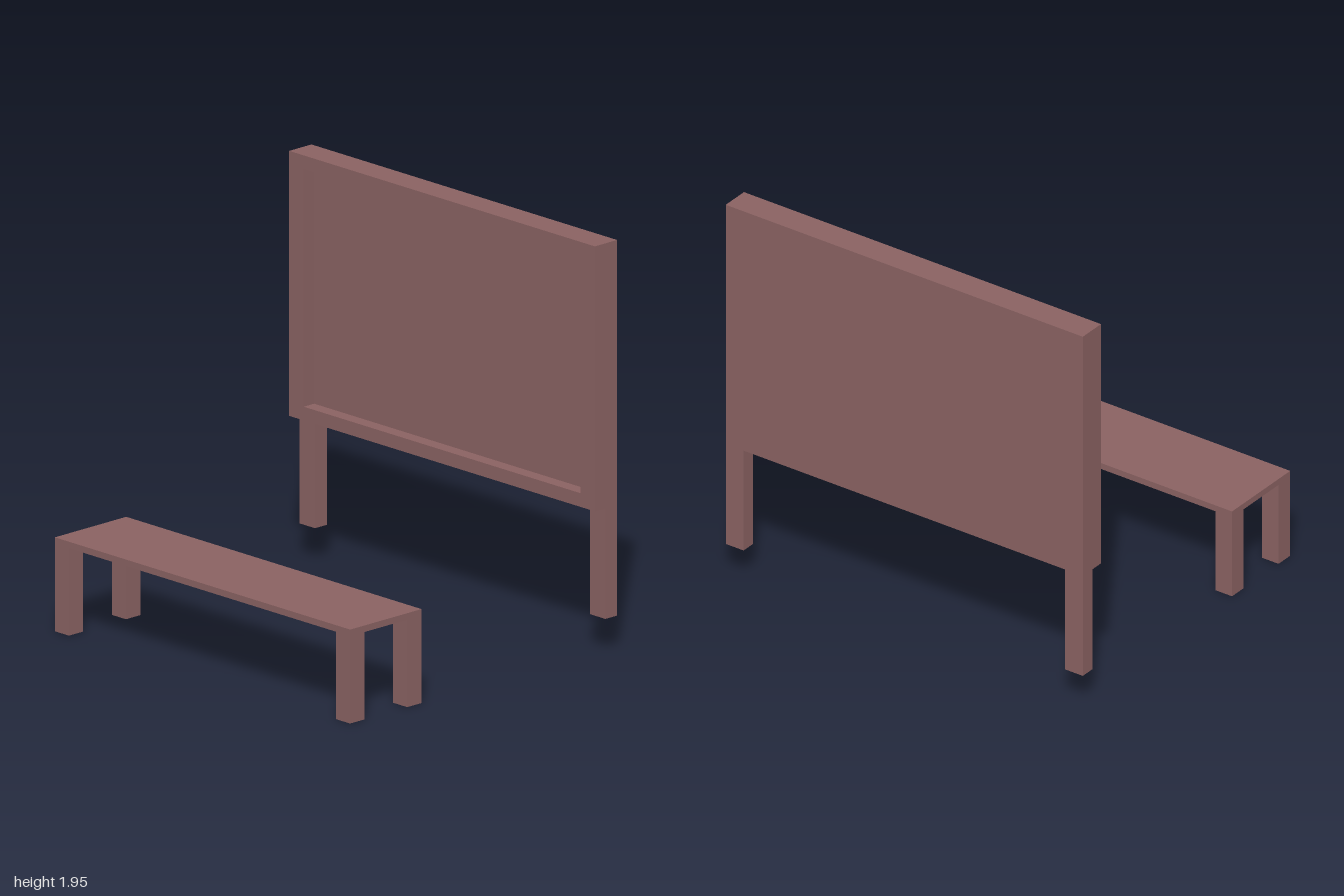
import * as THREE from 'three';

export function createModel() {
  const model = new THREE.Group();
  const wood = new THREE.MeshStandardMaterial({ color: 0x8a6262 });
  wood.name = 'dusty brown';

  // Box given by its minimum and maximum on each axis
  function addBox(parent, name, [x0, x1], [y0, y1], [z0, z1]) {
    const mesh = new THREE.Mesh(new THREE.BoxGeometry(x1 - x0, y1 - y0, z1 - z0), wood);
    mesh.position.set((x0 + x1) / 2, (y0 + y1) / 2, (z0 + z1) / 2);
    mesh.name = name;
    parent.add(mesh);
  }

  // Bench: thin seat on four square legs
  const bench = new THREE.Group();
  bench.name = 'bench';
  addBox(bench, 'benchSeat', [-0.823, -0.375], [0.415, 0.446], [-0.966, 0.966]);
  for (const x of [-0.823, -0.465]) {
    for (const z of [-0.966, 0.874]) {
      addBox(bench, 'benchLeg', [x, x + 0.09], [0, 0.415], [z, z + 0.092]);
    }
  }
  model.add(bench);

  // Headboard: solid panel on two legs, with a raised frame facing the bench
  const headboard = new THREE.Group();
  headboard.name = 'headboard';
  const bottom = 0.688, top = 1.946, back = 0.746;
  addBox(headboard, 'headboardPanel', [back, 0.82], [bottom, top], [-1, 1]);
  for (const z of [-1, 0.9]) {
    addBox(headboard, 'headboardLeg', [back, 0.82], [0.163, bottom], [z, z + 0.1]);
  }

  // Frame outline with a rectangular opening
  const rectangle = (path, w, y0, y1) =>
    path.moveTo(-w, y0).lineTo(w, y0).lineTo(w, y1).lineTo(-w, y1).closePath();
  const outline = new THREE.Shape();
  rectangle(outline, 1, bottom, top);
  const opening = new THREE.Path();
  rectangle(opening, 0.905, bottom + 0.065, top - 0.065);
  outline.holes.push(opening);
  const frameGeometry = new THREE.ExtrudeGeometry(outline, { depth: back - 0.68, bevelEnabled: false });
  frameGeometry.rotateY(Math.PI / 2);
  const frame = new THREE.Mesh(frameGeometry, wood);
  frame.position.x = 0.68;
  frame.name = 'headboardFrame';
  headboard.add(frame);
  model.add(headboard);

  return model;
}
